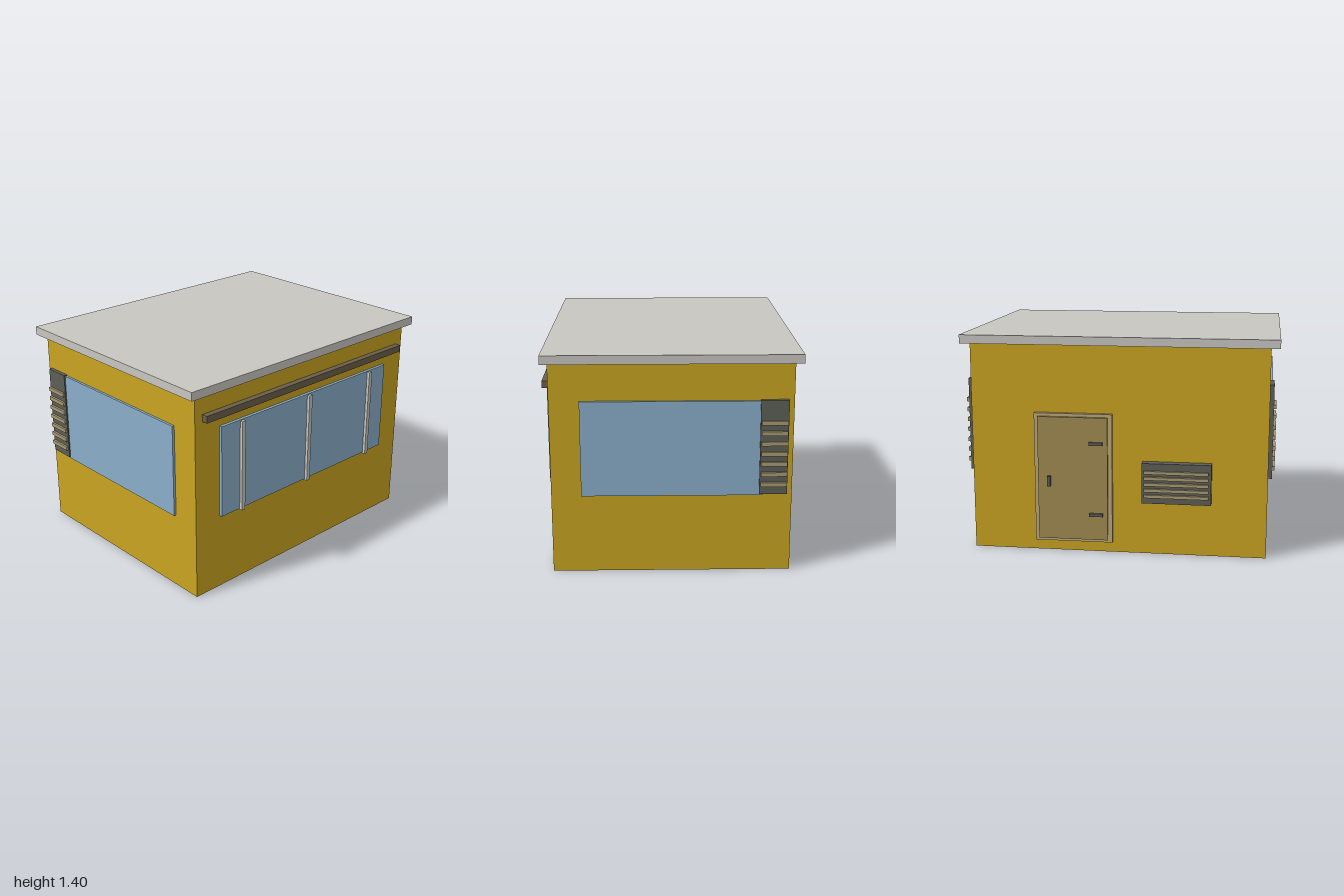
import * as THREE from 'three';

const material = (name, color) => {
  const m = new THREE.MeshStandardMaterial({ color });
  m.name = name;
  return m;
};

export function createModel() {
  const model = new THREE.Group();
  model.name = 'cabin';

  const ochre = material('ochre wall', 0xc9a421);
  const pale = material('pale grey', 0xc8c6c0);
  const glass = material('blue glass', 0x8aaeca);
  const brown = material('brown beam', 0x6b5f49);
  const dark = material('dark grey', 0x5d5f57);
  const tan = material('tan slat', 0xa99b73);
  const doorTan = material('door olive', 0xa08b51);
  const frameTan = material('frame beige', 0xbca978);

  // Box given by its limits on each axis
  const box = (name, mat, [x0, x1], [y0, y1], [z0, z1], parent = model) => {
    const mesh = new THREE.Mesh(new THREE.BoxGeometry(x1 - x0, y1 - y0, z1 - z0), mat);
    mesh.position.set((x0 + x1) / 2, (y0 + y1) / 2, (z0 + z1) / 2);
    mesh.name = name;
    parent.add(mesh);
    return mesh;
  };
  const group = (name) => {
    const g = new THREE.Group();
    g.name = name;
    model.add(g);
    return g;
  };

  // Shell
  box('walls', ochre, [-0.945, 0.945], [0, 1.345], [-0.725, 0.76]);
  box('roof', pale, [-1, 1], [1.345, 1.4], [-0.77, 0.8]);

  // Front window with mullions and a beam above
  const front = group('frontWindow');
  box('frontGlass', glass, [-0.753, 0.753], [0.505, 1.107], [0.75, 0.78], front);
  for (const x of [-0.588, 0, 0.588]) {
    box('mullion', pale, [x - 0.014, x + 0.014], [0.498, 1.1], [0.775, 0.8], front);
  }
  box('frontBeam', brown, [-0.887, 0.887], [1.175, 1.22], [0.75, 0.8]);

  // Side windows and louvres, the same on both sides
  for (const s of [1, -1]) {
    const side = group(s > 0 ? 'leftSide' : 'rightSide');
    const span = (a, b) => (s > 0 ? [a, b] : [-b, -a]);
    box('sideGlass', glass, span(0.93, 0.961), [0.505, 1.107], [-0.542, 0.575], side);
    box('louvrePanel', dark, span(0.93, 0.97), [0.515, 1.113], [-0.692, -0.52], side);
    for (let i = 0; i < 7; i++) {
      const y = 0.58 + i * 0.0655;
      box('louvreSlat', tan, span(0.96, 0.985), [y - 0.013, y + 0.013], [-0.688, -0.527], side);
    }
  }

  // Back door with frame, hinges and handle
  const door = group('backDoor');
  box('doorFrame', frameTan, [0.035, 0.535], [0.07, 0.91], [-0.752, -0.715], door);
  box('doorPanel', doorTan, [0.062, 0.51], [0.09, 0.89], [-0.77, -0.74], door);
  for (const y of [0.258, 0.724]) {
    box('hinge', dark, [0.093, 0.18], [y - 0.01, y + 0.01], [-0.785, -0.76], door);
  }
  box('doorHandle', dark, [0.426, 0.446], [0.443, 0.508], [-0.8, -0.76], door);

  // Back vent
  const vent = group('backVent');
  box('ventBox', dark, [-0.595, -0.156], [0.35, 0.61], [-0.783, -0.715], vent);
  for (let i = 0; i < 5; i++) {
    const y = 0.4 + i * 0.0385;
    box('ventSlat', tan, [-0.579, -0.172], [y - 0.01, y + 0.01], [-0.8, -0.77], vent);
  }

  return model;
}
